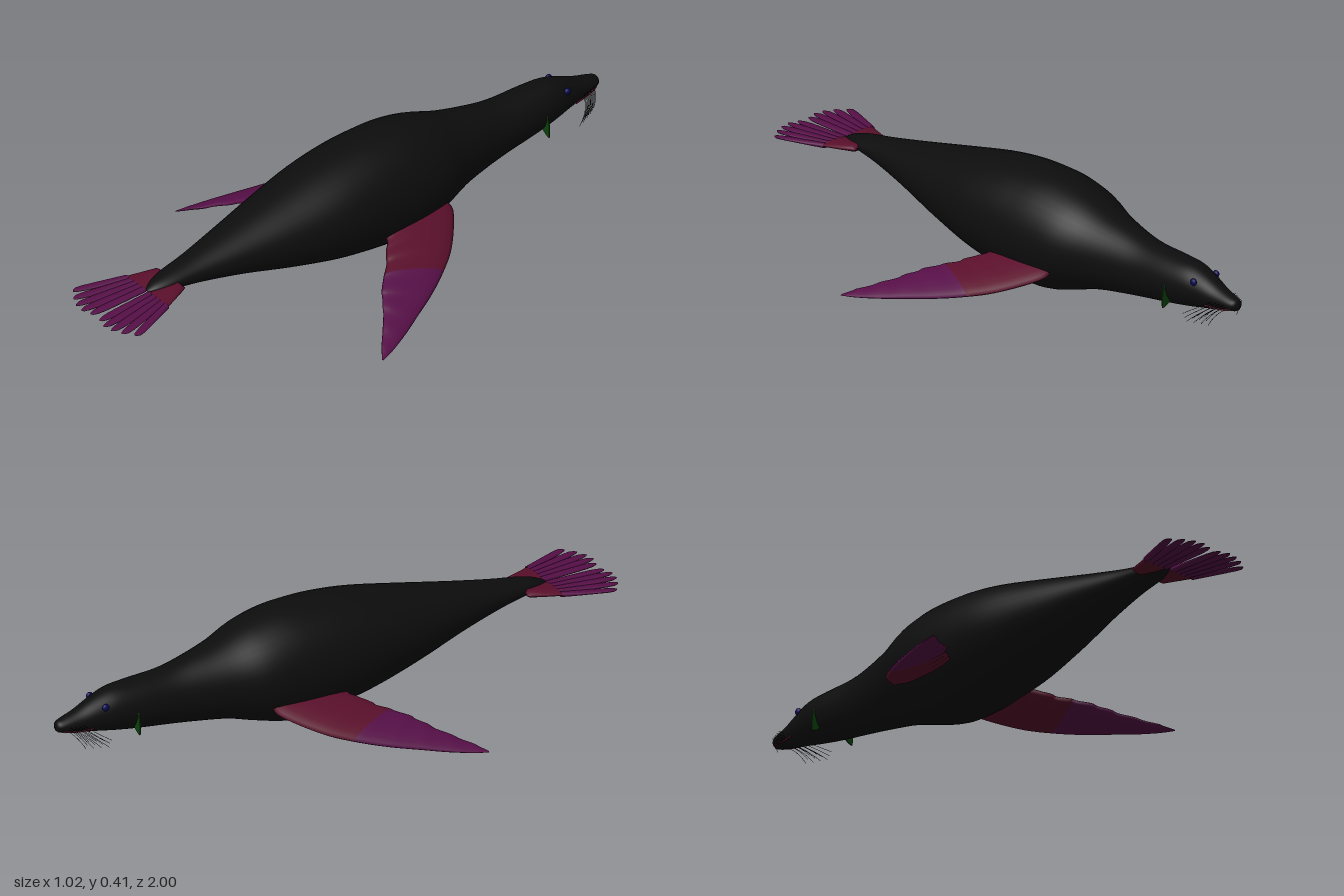
import * as THREE from 'three';

const mat = (name, color) => {
  const m = new THREE.MeshStandardMaterial({ color, side: THREE.DoubleSide });
  m.name = name;
  return m;
};

// Skin closed rings of points into one smooth surface
function loft(rings) {
  const n = rings[0].length, pos = [], idx = [];
  rings.forEach(r => r.forEach(p => pos.push(p.x, p.y, p.z)));
  for (let i = 0; i < rings.length - 1; i++) {
    for (let j = 0; j < n; j++) {
      const k = (j + 1) % n, a = i * n + j, b = i * n + k;
      idx.push(a, b, a + n, b, b + n, a + n);
    }
  }
  const g = new THREE.BufferGeometry();
  g.setAttribute('position', new THREE.Float32BufferAttribute(pos, 3));
  g.setIndex(idx);
  g.computeVertexNormals();
  return g;
}

// Smoothly resample rows of numbers
function resample(rows, steps) {
  const out = [], last = rows.length - 1;
  for (let s = 0; s <= steps; s++) {
    const u = (s / steps) * last, i = Math.min(Math.floor(u), last - 1), t = u - i;
    const at = k => rows[Math.max(0, Math.min(last, k))];
    out.push(rows[i].map((_, c) => {
      const p0 = at(i - 1)[c], p1 = at(i)[c], p2 = at(i + 1)[c], p3 = at(i + 2)[c];
      return p1 + 0.5 * t * (p2 - p0 + t * (2 * p0 - 5 * p1 + 4 * p2 - p3 + t * (3 * (p1 - p2) + p3 - p0)));
    }));
  }
  return out;
}

// Fin section rows: outer x, outer z, inner x, inner z, outer y, inner y, thickness
function fin(rows) {
  return loft(rows.map(([ox, oz, ix, iz, oy, iy, t]) => {
    const ring = [];
    for (let j = 0; j < 16; j++) {
      const a = (j / 16) * Math.PI * 2, w = (1 + Math.cos(a)) / 2;
      ring.push(new THREE.Vector3(ix + (ox - ix) * w, iy + (oy - iy) * w + Math.sin(a) * t / 2, iz + (oz - iz) * w));
    }
    return ring;
  }));
}

export function createModel() {
  const hide = mat('black hide', 0x0d0d0d);
  const red = mat('dark red skin', 0x5a0f2b);
  const purple = mat('purple flipper tip', 0x560f47);
  const blue = mat('blue eye', 0x0a0a55);
  const green = mat('green ear', 0x0c400c);

  const model = new THREE.Group();
  const add = (parent, name, geo, material) => {
    const m = new THREE.Mesh(geo, material);
    m.name = name;
    parent.add(m);
    return m;
  };

  // Body rows: z, top, bottom, half width
  const body = [
    [-1, 0.226, 0.222, 0.002], [-0.993, 0.242, 0.209, 0.018], [-0.97, 0.25, 0.203, 0.028],
    [-0.92, 0.265, 0.19, 0.038], [-0.86, 0.29, 0.178, 0.052], [-0.8, 0.308, 0.165, 0.066],
    [-0.72, 0.312, 0.15, 0.076], [-0.6, 0.315, 0.13, 0.083], [-0.5, 0.332, 0.113, 0.099],
    [-0.4, 0.355, 0.094, 0.125], [-0.3, 0.388, 0.062, 0.16], [-0.2, 0.408, 0.034, 0.176],
    [-0.1, 0.41, 0.032, 0.181], [0, 0.402, 0.045, 0.18], [0.12, 0.382, 0.067, 0.17],
    [0.28, 0.345, 0.106, 0.138], [0.45, 0.305, 0.152, 0.096], [0.6, 0.272, 0.184, 0.061],
    [0.7, 0.253, 0.2, 0.044], [0.75, 0.24, 0.208, 0.028], [0.78, 0.226, 0.216, 0.01], [0.785, 0.222, 0.22, 0.001],
  ];
  add(model, 'body', loft(resample(body, 84).map(([z, top, bottom, rx]) => {
    const ring = [];
    for (let j = 0; j < 40; j++) {
      const a = (j / 40) * Math.PI * 2;
      ring.push(new THREE.Vector3(Math.cos(a) * rx, (top + bottom) / 2 + Math.sin(a) * (top - bottom) / 2, z));
    }
    return ring;
  })), hide);

  // Front flipper outline: leading x, z, trailing x, z, thickness
  const slope = x => 0.143 - 0.394 * (x - 0.16);
  const outline = [
    [0.14, -0.295, 0.13, -0.03, 0.04], [0.17, -0.292, 0.17, -0.03, 0.04], [0.225, -0.25, 0.2, 0.0, 0.04],
    [0.29, -0.185, 0.235, 0.025, 0.038], [0.345, -0.105, 0.27, 0.065, 0.035], [0.39, -0.025, 0.31, 0.105, 0.031],
    [0.43, 0.06, 0.35, 0.133, 0.026], [0.465, 0.135, 0.4, 0.172, 0.02], [0.495, 0.21, 0.455, 0.222, 0.012],
    [0.51, 0.26, 0.505, 0.262, 0.002],
  ];
  const flipperRows = resample(outline, 45).map(([lx, lz, tx, tz, t], i) => {
    const ripple = i > 8 && i < 42 ? 0.004 * Math.sin(i * 1.1) : 0;
    return [lx, lz, tx + ripple, tz + ripple, slope(lx), slope(tx), t];
  });

  for (const side of [1, -1]) {
    const half = new THREE.Group();
    half.name = side > 0 ? 'leftSide' : 'rightSide';
    half.scale.x = side;
    model.add(half);

    add(half, 'frontFlipperBase', fin(flipperRows.slice(0, 20)), red);
    add(half, 'frontFlipperTip', fin(flipperRows.slice(19)), purple);

    // Hind flipper with five toes fanning outwards
    add(half, 'hindFlipperBase', fin([
      [0.065, 0.685, 0.02, 0.69, 0.224, 0.224, 0.004], [0.07, 0.695, 0.018, 0.695, 0.224, 0.224, 0.024],
      [0.088, 0.74, 0.01, 0.74, 0.22, 0.22, 0.022], [0.106, 0.787, 0.006, 0.787, 0.217, 0.217, 0.018],
    ]), red);
    const tips = [0.99, 1.0, 0.995, 0.98, 0.955];
    tips.forEach((end, k) => {
      const rows = [[0, 1.15], [0.3, 1.12], [0.6, 1.06], [0.78, 0.98], [0.9, 0.78], [0.97, 0.45], [1, 0.05]].map(([t, w]) => {
        const z = 0.783 + (end - 0.783) * t;
        const span = 0.1 + 0.06 * Math.min(1, t * 1.1);
        const mid = 0.006 + span * (k + 0.5) / 5, h = span / 10 * w;
        const y = 0.217 - 0.006 * t;
        return [mid + h, z, Math.max(0.004, mid - h), z, y, y, 0.017 * (1 - 0.6 * t) * Math.min(1, w + 0.1)];
      });
      add(half, 'hindToe' + (k + 1), fin(rows), purple);
    });

    // Eye
    const eye = add(half, 'eye', new THREE.SphereGeometry(0.012, 16, 12), blue);
    eye.position.set(0.047, 0.271, -0.845);
    eye.scale.x = 0.7;

    // Ear flap hanging down and outwards
    const ear = new THREE.Shape();
    ear.moveTo(0.06, 0.25);
    ear.quadraticCurveTo(0.092, 0.225, 0.084, 0.162);
    ear.quadraticCurveTo(0.06, 0.165, 0.045, 0.19);
    const flap = add(half, 'ear', new THREE.ExtrudeGeometry(ear, { depth: 0.004, bevelEnabled: false }), green);
    flap.position.z = -0.745;

    // Mouth line
    const lip = new THREE.CatmullRomCurve3([
      new THREE.Vector3(0.004, 0.212, -0.994), new THREE.Vector3(0.021, 0.211, -0.975),
      new THREE.Vector3(0.031, 0.205, -0.93), new THREE.Vector3(0.04, 0.205, -0.885),
    ]);
    add(half, 'mouth', new THREE.TubeGeometry(lip, 16, 0.003, 6), red);

    // Whiskers in three rows
    for (let r = 0; r < 3; r++) {
      for (let c = 0; c < 4; c++) {
        const z = -0.965 + c * 0.014, y = 0.228 - r * 0.009, reach = 0.045 + c * 0.01 - r * 0.008;
        const hair = new THREE.QuadraticBezierCurve3(
          new THREE.Vector3(0.024, y, z),
          new THREE.Vector3(0.03 + reach * 0.8, y - 0.01, z + 0.015),
          new THREE.Vector3(0.03 + reach, y - 0.04 - r * 0.007, z + 0.04 + c * 0.008));
        add(half, 'whisker', new THREE.TubeGeometry(hair, 8, 0.0008, 4), hide);
      }
    }
  }
  return model;
}
